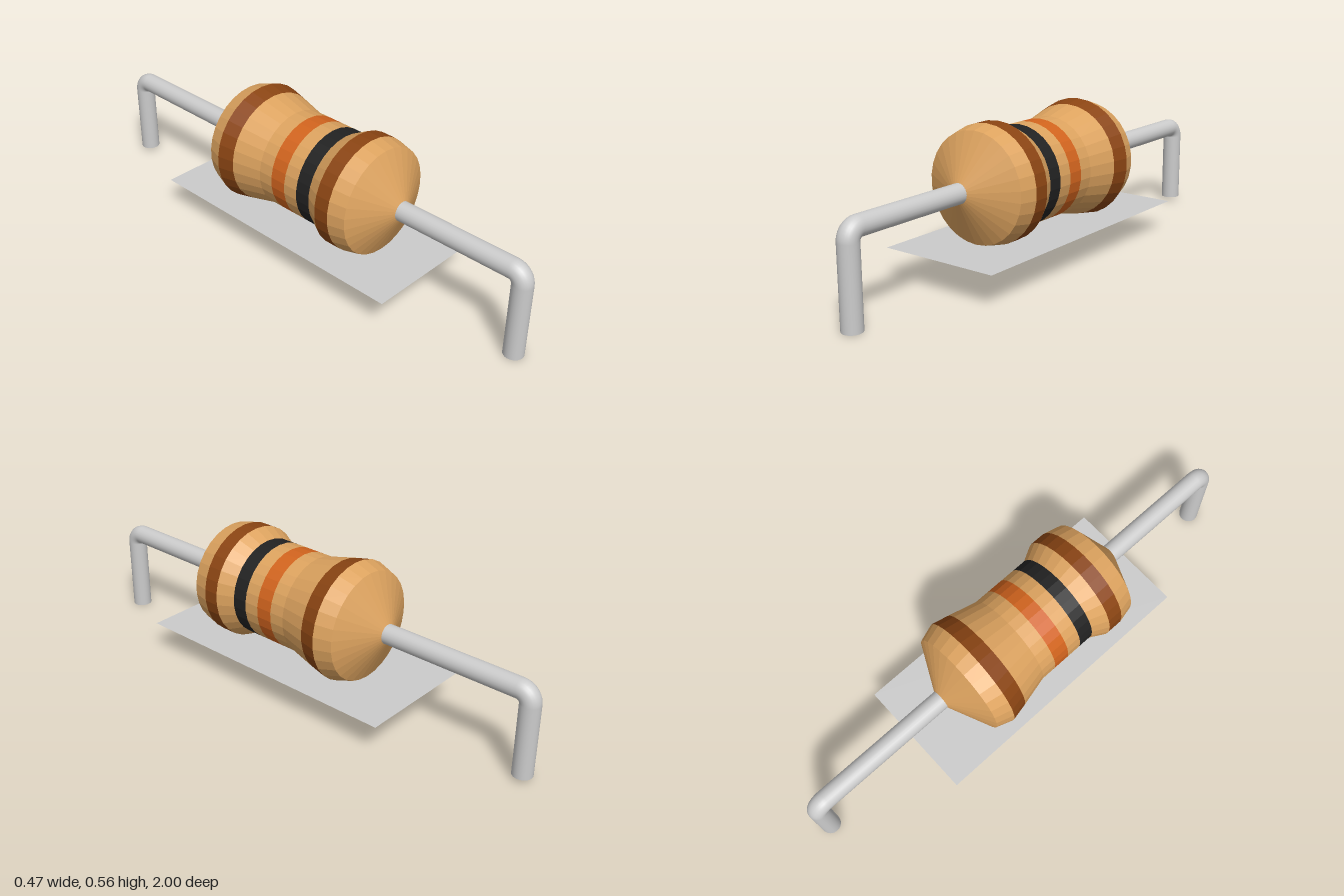
import * as THREE from 'three';

const AXIS_X = -0.005, AXIS_Y = 0.332; // centre line of the body
const WIRE_R = 0.037, BEND_R = 0.042;

const paint = (color, extra = {}) => new THREE.MeshStandardMaterial({ color, ...extra });

export function createModel() {
  const model = new THREE.Group();
  const tan = paint(0xdda35f, { flatShading: true });
  const brown = paint(0x8b4513, { flatShading: true });
  const black = paint(0x222222, { flatShading: true });
  const orange = paint(0xd2641e, { flatShading: true });
  const metal = paint(0xcccccc);

  const add = (parent, name, geometry, material, x = 0, y = 0, z = 0) => {
    const mesh = new THREE.Mesh(geometry, material);
    mesh.name = name;
    mesh.position.set(x, y, z);
    parent.add(mesh);
    return mesh;
  };

  // Body: coloured slices of one turned profile, points are [radius, z]
  const slices = [
    ['rearCap', tan, [[0, -0.385], [0.037, -0.385], [0.207, -0.3], [0.229, -0.235]]],
    ['rearBrownBand', brown, [[0.229, -0.235], [0.215, -0.17]]],
    ['rearWaist', tan, [[0.215, -0.17], [0.187, -0.055], [0.187, 0.005]]],
    ['orangeBand', orange, [[0.187, 0.005], [0.187, 0.07]]],
    ['middleWaist', tan, [[0.187, 0.07], [0.187, 0.13]]],
    ['blackBand', black, [[0.187, 0.13], [0.187, 0.19]]],
    ['frontShoulder', tan, [[0.187, 0.19], [0.219, 0.25]]],
    ['frontBrownBand', brown, [[0.219, 0.25], [0.219, 0.31]]],
    ['frontCap', tan, [[0.219, 0.31], [0.204, 0.375], [0.037, 0.46], [0, 0.46]]],
  ];
  const body = new THREE.Group();
  body.name = 'body';
  body.position.set(AXIS_X, AXIS_Y, 0);
  model.add(body);
  for (const [name, material, profile] of slices) {
    const points = profile.map(([r, z]) => new THREE.Vector2(r, z));
    add(body, name, new THREE.LatheGeometry(points, 30).rotateX(Math.PI / 2), material);
  }

  // Wire leads: straight run, rounded bend, leg down to the foot
  const addLead = (name, side, start, foot) => {
    const lead = new THREE.Group();
    lead.name = name;
    const legZ = 1 - WIRE_R, bendZ = legZ - BEND_R, bendY = AXIS_Y - BEND_R;
    const run = new THREE.CylinderGeometry(WIRE_R, WIRE_R, bendZ - start, 24).rotateX(Math.PI / 2);
    add(lead, 'leadRun', run, metal, AXIS_X, AXIS_Y, side * (start + bendZ) / 2);
    const bend = new THREE.TorusGeometry(BEND_R, WIRE_R, 24, 10, Math.PI / 2).rotateY(-side * Math.PI / 2);
    add(lead, 'leadBend', bend, metal, AXIS_X, bendY, side * bendZ);
    const leg = new THREE.CylinderGeometry(WIRE_R, WIRE_R, bendY - foot, 24);
    add(lead, 'leadLeg', leg, metal, AXIS_X, (bendY + foot) / 2, side * legZ);
    model.add(lead);
  };
  addLead('frontLead', 1, 0.44, 0);
  addLead('rearLead', -1, 0.365, 0.015);

  // Thin sheet under the body, which the two bulges just break through
  const sheet = new THREE.PlaneGeometry(0.475, 1.11).rotateX(-Math.PI / 2);
  add(model, 'baseSheet', sheet, paint(0xcccccc, { side: THREE.DoubleSide }), 0, 0.125, 0.025);

  return model;
}
